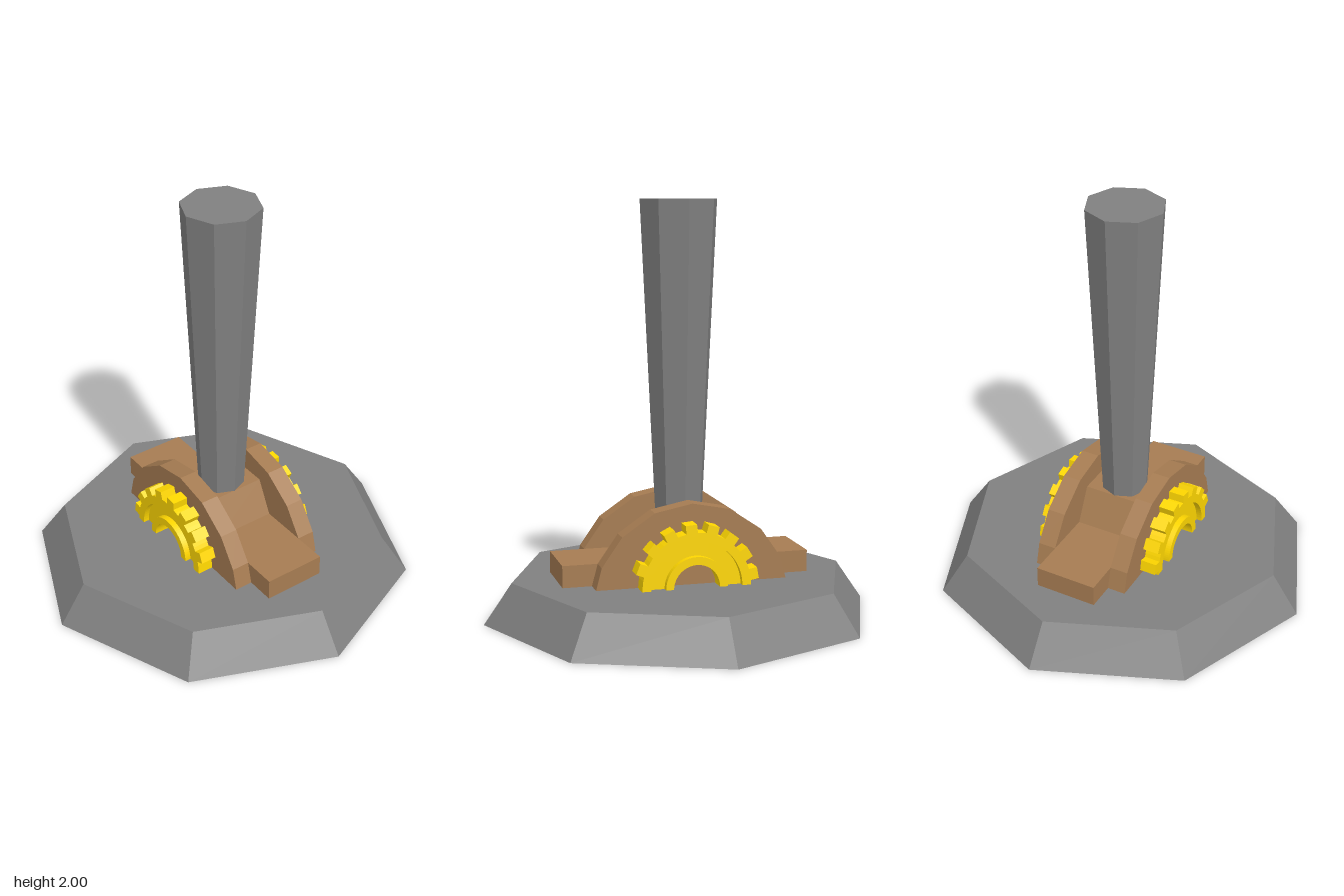
import * as THREE from 'three';

const material = (color) => new THREE.MeshStandardMaterial({ color, flatShading: true });
const BASE_TOP = 0.194;

export function createModel() {
  const model = new THREE.Group();
  const darkGrey = material(0x808080);
  const brown = material(0xa67c52);
  const gold = material(0xffd700);

  function add(parent, name, geometry, mat) {
    const mesh = new THREE.Mesh(geometry, mat);
    mesh.name = name;
    parent.add(mesh);
  }

  // Extrudes a side profile (horizontal axis = -z) across x, starting at x0
  function acrossX(shape, x0, depth) {
    const g = new THREE.ExtrudeGeometry(shape, { depth, bevelEnabled: false, curveSegments: 20 });
    return g.rotateY(Math.PI / 2).translate(x0, 0, 0);
  }

  // Symmetric profile from the points of its right half, listed bottom to top
  function mirrored(half) {
    const left = half.filter(([u]) => u > 0).map(([u, v]) => [-u, v]).reverse();
    return new THREE.Shape([...half, ...left].map(([u, v]) => new THREE.Vector2(u, v)));
  }

  // Half ring standing on the base
  function halfRing(inner, outer) {
    const s = new THREE.Shape();
    s.absarc(0, BASE_TOP, outer, 0, Math.PI, false);
    s.absarc(0, BASE_TOP, inner, Math.PI, 0, true);
    return s;
  }

  // Half ring with square teeth around the rim
  function toothedRing(inner, root, tip) {
    const s = new THREE.Shape();
    const step = (2 * Math.PI) / 17;
    const polar = (r, a) => [r * Math.cos(a), BASE_TOP + r * Math.sin(a)];
    s.moveTo(root, BASE_TOP);
    for (let i = 0; i < 8; i++) {
      const a = 0.185 + i * step;
      s.lineTo(...polar(root, a - 0.105));
      s.lineTo(...polar(tip, a - 0.09));
      s.lineTo(...polar(tip, a + 0.09));
      s.lineTo(...polar(root, a + 0.105));
      s.lineTo(...polar(root, a + step / 2));
    }
    s.lineTo(-root, BASE_TOP);
    s.absarc(0, BASE_TOP, inner, Math.PI, 0, true);
    return s;
  }

  // Octagonal base and lever
  add(model, 'base', new THREE.CylinderGeometry(0.822, 0.957, BASE_TOP, 8).translate(0, BASE_TOP / 2, 0), darkGrey);
  add(model, 'lever', new THREE.CylinderGeometry(0.19, 0.108, 1.7, 8).translate(0, 1.15, 0), darkGrey);

  // Central mount with low steps at front and back
  const mount = mirrored([[0.607, 0.18], [0.607, 0.3], [0.2, 0.3], [0.115, 0.465]]);
  add(model, 'mount', acrossX(mount, -0.155, 0.31), brown);

  // Arched cheek and gear on each side
  const arch = mirrored([[0.466, 0.18], [0.466, 0.194], [0.438, 0.3], [0.34, 0.44], [0.183, 0.546], [0, 0.582]]);
  for (const side of [1, -1]) {
    const label = side > 0 ? 'left' : 'right';
    const start = (inner, depth) => (side > 0 ? inner : -inner - depth);
    add(model, label + 'Arch', acrossX(arch, start(0.155, 0.09), 0.09), brown);

    const gear = new THREE.Group();
    gear.name = label + 'Gear';
    add(gear, 'toothedRim', acrossX(toothedRing(0.222, 0.265, 0.305), start(0.245, 0.08), 0.08), gold);
    add(gear, 'recessedWeb', acrossX(halfRing(0.15, 0.222), start(0.245, 0.05), 0.05), gold);
    add(gear, 'hub', acrossX(halfRing(0.112, 0.15), start(0.245, 0.08), 0.08), gold);
    model.add(gear);
  }
  return model;
}
